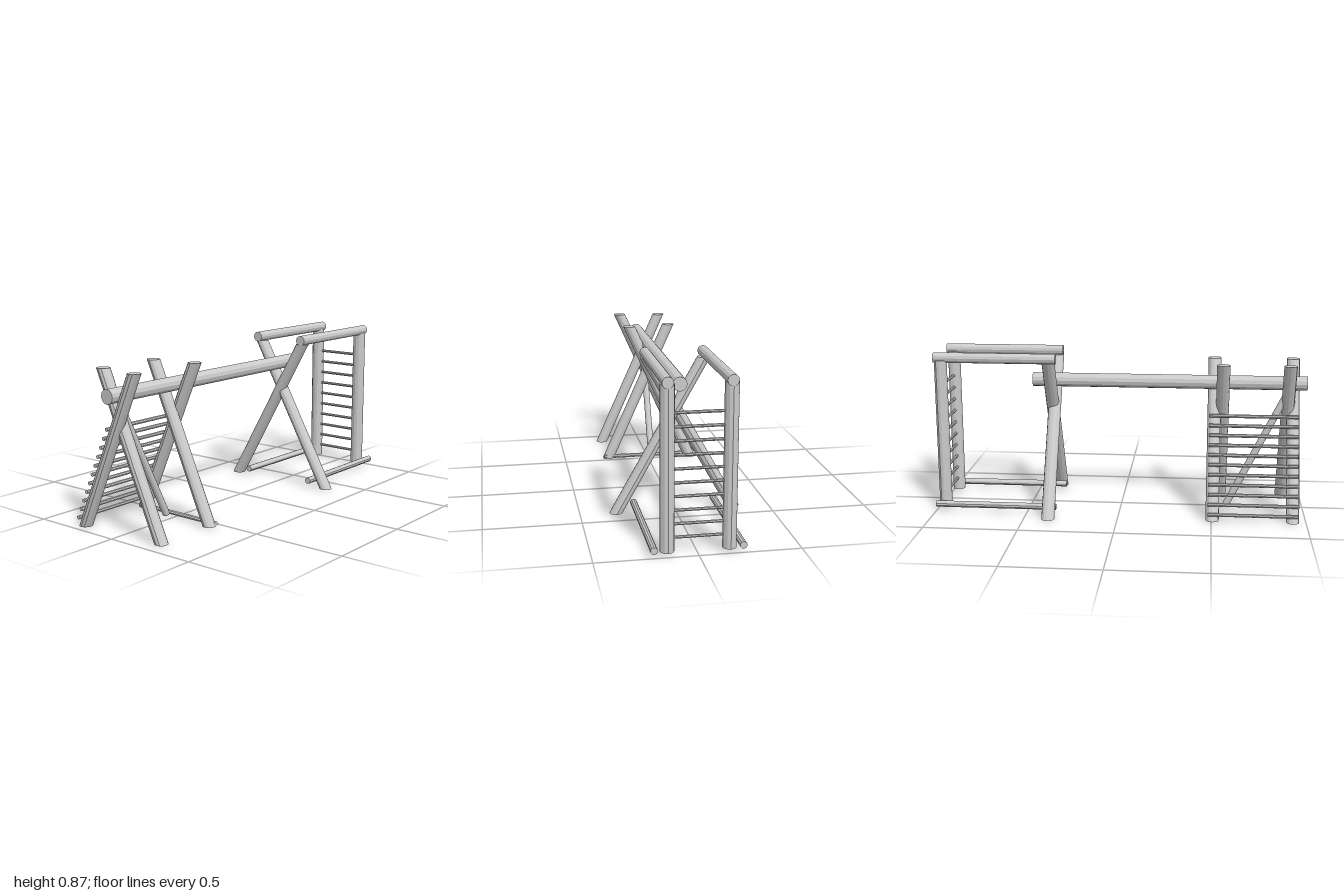
import * as THREE from 'three';

const wood = new THREE.MeshStandardMaterial({ color: 0xcccccc, flatShading: true });

export function createModel() {
  const model = new THREE.Group();

  // Round pole between two points, with ends cut square to its axis
  function pole(name, from, to, radius, sides = 12) {
    const a = new THREE.Vector3(...from);
    const b = new THREE.Vector3(...to);
    const mesh = new THREE.Mesh(new THREE.CylinderGeometry(radius, radius, a.distanceTo(b), sides), wood);
    mesh.name = name;
    mesh.position.copy(a).add(b).multiplyScalar(0.5);
    mesh.quaternion.setFromUnitVectors(new THREE.Vector3(0, 1, 0), b.sub(a).normalize());
    model.add(mesh);
  }

  // Leaning leg whose ends are cut level with the ground
  function leg(name, footX, topX, z, radius = 0.035, bottom = 0, top = 0.815) {
    const height = top - bottom;
    const geometry = new THREE.CylinderGeometry(radius, radius, height, 12);
    const shear = new THREE.Matrix4().set(
      1, (topX - footX) / height, 0, 0,
      0, 1, 0, 0,
      0, 0, 1, 0,
      0, 0, 0, 1
    );
    geometry.applyMatrix4(shear);
    const mesh = new THREE.Mesh(geometry, wood);
    mesh.name = name;
    mesh.position.set((footX + topX) / 2, (bottom + top) / 2, z);
    model.add(mesh);
  }

  // Long main beam resting in the crossed legs
  pole('mainBeam', [-0.005, 0.7, 1], [-0.005, 0.7, -0.485], 0.038);

  // Two crossed pairs of legs under the front of the beam
  for (const z of [0.93, 0.505]) leg('ladderLeg', -0.255, 0.11, z);
  for (const z of [0.9, 0.55]) leg('frontLeg', 0.237, -0.13, z);

  // Sloping ladder laid over the right-hand legs
  for (let i = 0; i < 11; i++) {
    const t = i / 10;
    const x = -0.285 + 0.222 * t;
    const y = 0.04 + 0.486 * t;
    pole('ladderRung', [x, y, 0.955], [x, y, 0.48], 0.01, 8);
  }

  // Foot bar and diagonal brace of the front frame
  pole('footBar', [-0.26, 0.013, 0.53], [0.265, 0.013, 0.53], 0.012, 8);
  pole('diagonalBrace', [-0.03, 0.018, 0.58], [-0.03, 0.65, 0.895], 0.019);

  // Crossed legs at the rear end of the beam
  leg('rearLeg', -0.312, 0.145, -0.37);
  leg('rearLeg', 0.312, -0.148, -0.38);

  // Rear climbing frame: posts, top rails and ground rails
  for (const side of [-1, 1]) {
    const x = side * 0.15;
    leg('rearPost', x - 0.003, x - 0.003, -0.962, 0.035, 0.018, 0.825);
    pole('topRail', [x, 0.837, -0.34], [x, 0.837, -1], 0.028);
    pole('groundRail', [side * 0.214, 0.037, -0.34], [side * 0.214, 0.037, -1], 0.018, 10);
  }

  // Upright ladder rungs between the rear posts
  for (let i = 0; i < 10; i++) {
    const y = 0.085 + i * 0.067;
    pole('rearRung', [-0.16, y, -0.962], [0.155, y, -0.962], 0.008, 8);
  }

  return model;
}
